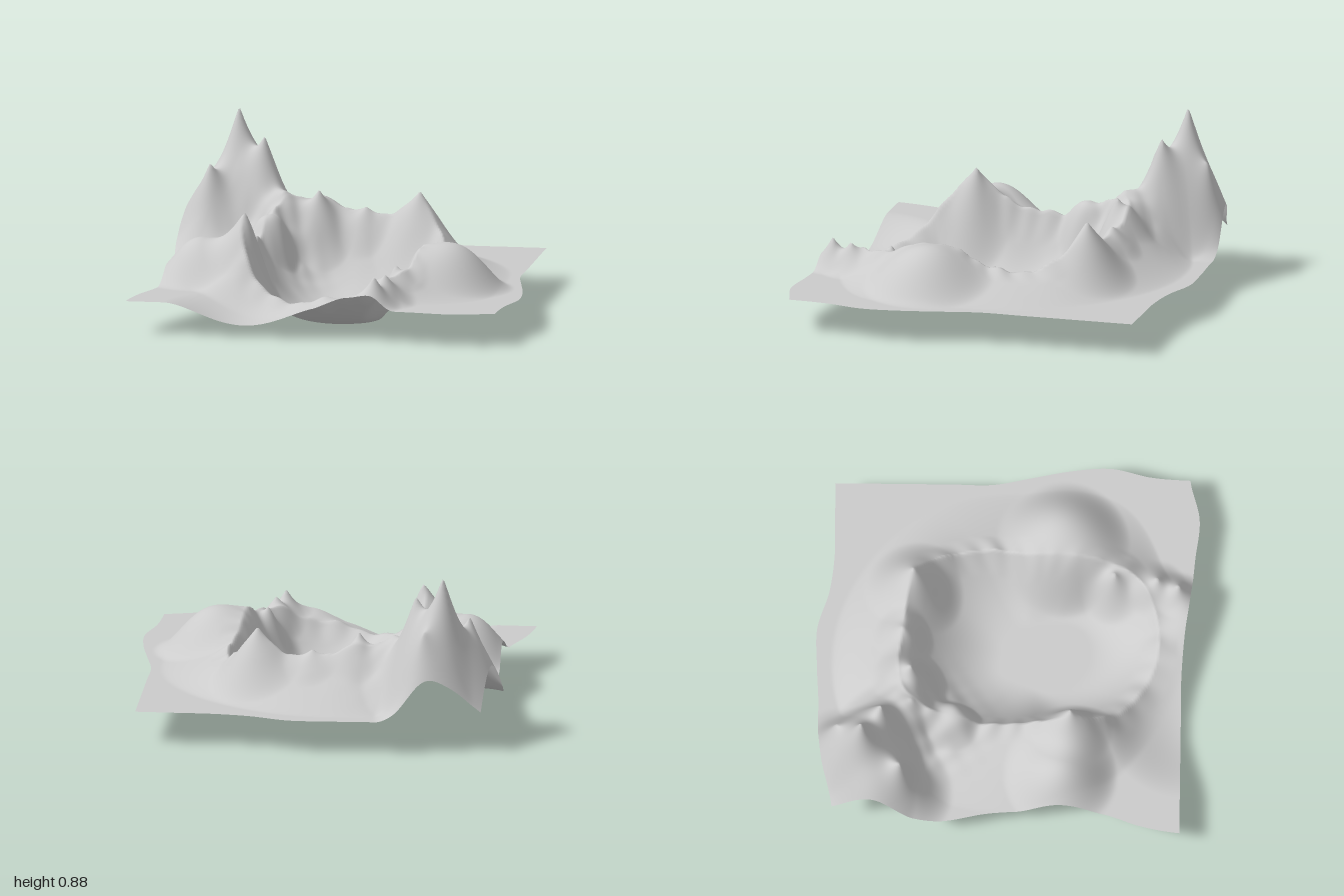
import * as THREE from 'three';

const GROUND = 0.17;

// Outline of the sheet: evenly spaced positions along each edge
const spline = (values) => {
  const curve = new THREE.SplineCurve(values.map((v, i) => new THREE.Vector2(i, v)));
  return (t) => curve.getPoint(t).y;
};
const leftEdge = spline([-0.89, -0.92, -0.96, -0.945, -0.905, -0.89, -0.885, -0.9, -0.965, -1]);
const rightEdge = spline([0.905, 0.905, 0.905, 0.905, 0.905, 0.945, 0.985, 1, 0.955, 0.94]);
const backEdge = spline([-0.9, -0.955, -0.975, -0.975, -0.985, -0.985, -0.925, -0.9, -0.9, -0.9]);
const frontEdge = spline([0.9, 0.9, 0.9, 0.9, 0.9, 0.915, 0.945, 0.965, 0.985, 0.935]);

// Crater rim every 30 degrees, from +x towards +z: radius, height, outer slope width
const center = { x: 0.03, z: 0.12 };
const rim = new THREE.CatmullRomCurve3([
  [0.43, 0.31, 0.4], [0.48, 0.34, 0.42], [0.64, 0.28, 0.16], [0.66, 0.19, 0.15],
  [0.62, 0.23, 0.16], [0.58, 0.37, 0.28], [0.5, 0.37, 0.42], [0.57, 0.33, 0.42],
  [0.74, 0.43, 0.32], [0.66, 0.38, 0.36], [0.66, 0.34, 0.28], [0.54, 0.29, 0.34],
].map((p) => new THREE.Vector3(...p)), true, 'catmullrom');

// Rounded hills and one hollow: x, z, height, reach
const hills = [
  [-0.38, 0.93, 0.06, 0.43], [0.58, 0.28, 0.41, 0.35], [-0.7, 0.28, 0.4, 0.3],
  [0.18, 0.93, 0.23, 0.2], [-0.44, -0.28, 0.42, 0.16], [-0.88, -0.68, 0.34, 0.22],
];

// Pointed peaks, lowest first: x, z, height, reach
const peaks = [
  [0.34, 0.77, 0.33, 0.16], [0.3, 0.88, 0.34, 0.14], [0.36, 0.55, 0.34, 0.18],
  [0.02, -0.54, 0.43, 0.16], [-0.4, -0.49, 0.48, 0.2], [-0.22, -0.5, 0.52, 0.2],
  [0.31, -0.49, 0.53, 0.26], [-0.47, 0.33, 0.55, 0.22], [-0.59, -0.88, 0.5, 0.26],
  [-0.8, -0.55, 0.6, 0.28], [-0.53, -0.65, 0.72, 0.29], [-0.68, -0.75, 0.9, 0.33],
];

// Bowl rising to the rim, then falling away to the level ground
function craterHeight(x, z) {
  const angle = Math.atan2(z - center.z, x - center.x);
  const distance = Math.hypot(x - center.x, z - center.z);
  const { x: radius, y: crest, z: slope } = rim.getPoint((angle / (2 * Math.PI) + 1) % 1);
  const beyond = distance - radius;
  const ripple = 0.01 * Math.sin(13 * angle) + 0.007 * Math.sin(29 * angle);
  const nearCrest = Math.max(0, 1 - Math.abs(beyond) / 0.1);
  const floor = 0.35 + 0.12 * Math.sin(angle);
  const base = beyond < 0
    ? crest * Math.max(0, (distance / radius - floor) / (1 - floor)) ** 2
    : GROUND + (crest - GROUND) * Math.max(0, 1 - beyond / slope) ** 1.3;
  return base + ripple * nearCrest;
}

// Small knolls on the back right part of the rim
function knolls(x, z) {
  const fade = Math.exp(-((x + 0.42) ** 2 + (z + 0.42) ** 2) / 0.04);
  return 0.022 * fade * Math.sin(45 * x + 9 * z) * Math.sin(42 * z - 12 * x);
}

// Each feature pulls the surface towards its own height
function terrainHeight(x, z) {
  let height = craterHeight(x, z) + knolls(x, z);
  const pull = (features, falloff) => {
    for (const [fx, fz, top, reach] of features) {
      const d = Math.hypot(x - fx, z - fz) / reach;
      if (d < 1) height += (top - height) * falloff(d);
    }
  };
  pull(hills, (d) => (1 - d * d) ** 2);
  pull(peaks, (d) => (1 - d) ** 1.8);
  return height;
}

export function createModel() {
  const group = new THREE.Group();
  group.name = 'craterLandscape';

  // Grid fitted to the wavy outline and raised to the terrain height
  const geometry = new THREE.PlaneGeometry(1, 1, 180, 180).rotateX(-Math.PI / 2);
  const pos = geometry.attributes.position;
  for (let i = 0; i < pos.count; i++) {
    const u = pos.getX(i) + 0.5;
    const v = pos.getZ(i) + 0.5;
    const x = THREE.MathUtils.lerp(leftEdge(v), rightEdge(v), u);
    const z = THREE.MathUtils.lerp(backEdge(u), frontEdge(u), v);
    pos.setXYZ(i, x, terrainHeight(x, z), z);
  }
  geometry.computeVertexNormals();

  const terrain = new THREE.Mesh(
    geometry,
    new THREE.MeshStandardMaterial({ color: 0xcccccc, side: THREE.DoubleSide }),
  );
  terrain.name = 'terrain';
  group.add(terrain);
  return group;
}
